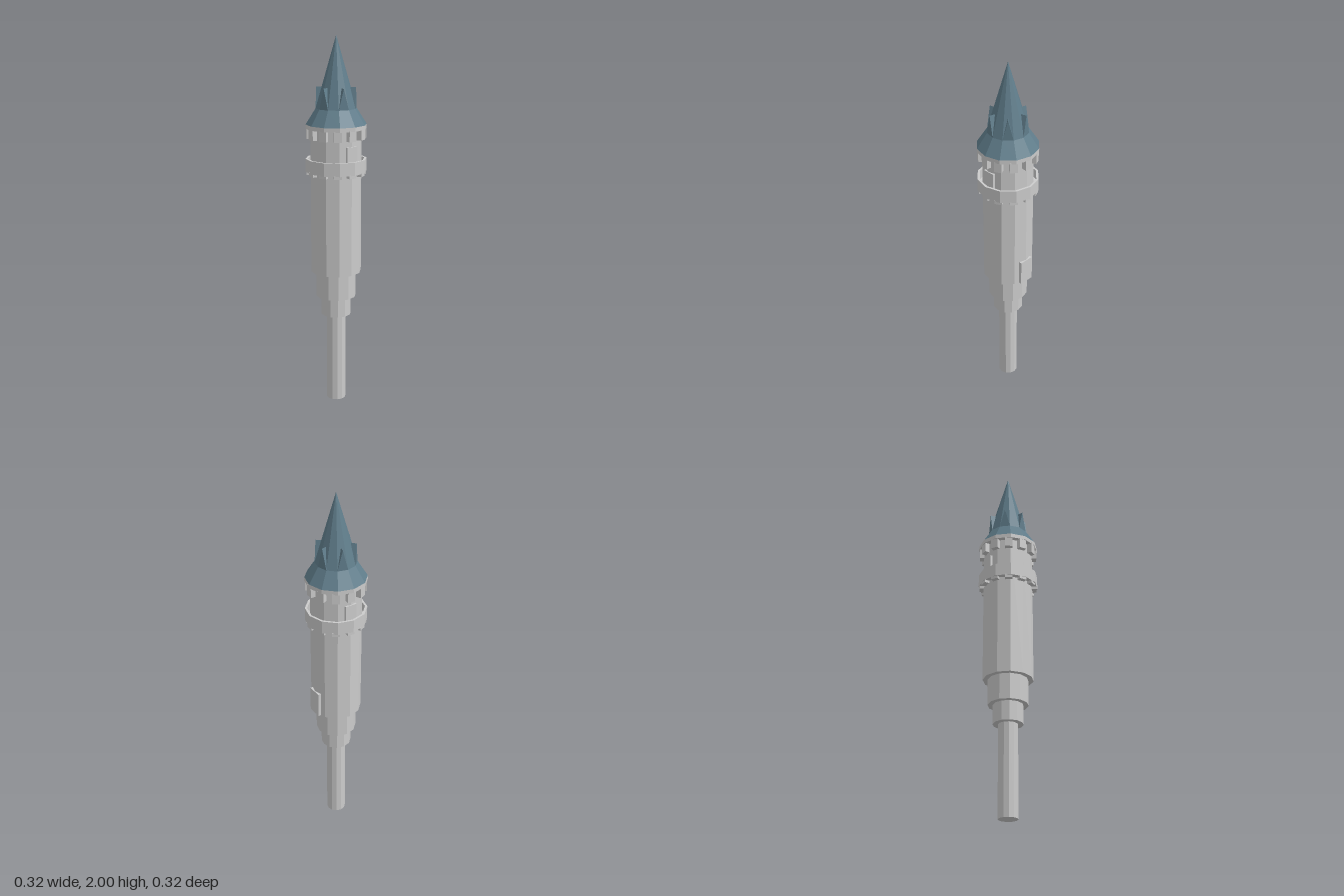
import * as THREE from 'three';

const SIDES = 12;
const stone = new THREE.MeshStandardMaterial({ color: 0xcccccc, flatShading: true });
const slate = new THREE.MeshStandardMaterial({ color: 0x607d8b, flatShading: true });

function faceted(geometry) {
  const g = geometry.index ? geometry.toNonIndexed() : geometry;
  g.computeVertexNormals();
  return g;
}

// Twelve-sided turned part from [radius, height] pairs, listed bottom to top
function turned(name, profile, material) {
  const points = profile.map(([r, y]) => new THREE.Vector2(r, y));
  const mesh = new THREE.Mesh(faceted(new THREE.LatheGeometry(points, SIDES)), material);
  mesh.name = name;
  return mesh;
}

// Block facing outward at angle a (0 = front), between two heights
function block(name, a, radius, width, depth, y0, y1) {
  const mesh = new THREE.Mesh(new THREE.BoxGeometry(width, y1 - y0, depth), stone);
  mesh.position.set(Math.sin(a) * radius, (y0 + y1) / 2, Math.cos(a) * radius);
  mesh.rotation.y = a;
  mesh.name = name;
  return mesh;
}

// Ring of small supporting blocks, one per side
function corbels(name, y0, y1) {
  const ring = new THREE.Group();
  ring.name = name;
  for (let i = 0; i < SIDES; i++) {
    const a = THREE.MathUtils.degToRad(i * 30 - 4);
    ring.add(block('corbel', a, 0.142, 0.04, 0.03, y0, y1));
  }
  return ring;
}

// Gabled dormer: upright triangular front and a level ridge running back to the spire
function dormerGeometry(r, y0, y1, ridgeBack) {
  const half = r * Math.sin(Math.PI / SIDES);
  const front = r * Math.cos(Math.PI / SIDES);
  const left = [-half, y0, front], right = [half, y0, front];
  const peak = [0, y1, front], back = [0, y1, ridgeBack];
  const g = new THREE.BufferGeometry();
  g.setAttribute('position', new THREE.Float32BufferAttribute(
    [left, right, peak, right, back, peak, left, peak, back].flat(), 3));
  g.computeVertexNormals();
  return g;
}

export function createModel() {
  const tower = new THREE.Group();
  tower.name = 'tower';

  // Stepped shaft
  tower.add(turned('shaft', [
    [0, 0], [0.052, 0], [0.052, 0.495], [0.081, 0.495], [0.081, 0.6],
    [0.108, 0.6], [0.108, 0.74], [0.135, 0.74], [0.135, 1.53],
  ], stone));

  // Balcony with a low parapet
  tower.add(turned('balcony', [
    [0.13, 1.29], [0.162, 1.29], [0.162, 1.36], [0.15, 1.36], [0.15, 1.31], [0.13, 1.31],
  ], stone));
  tower.add(corbels('balconyCorbels', 1.275, 1.295));

  // Eaves under the roof
  tower.add(turned('eaves', [[0.13, 1.52], [0.162, 1.52], [0.162, 1.542]], stone));
  tower.add(corbels('eavesCorbels', 1.467, 1.525));

  // Doors: two onto the balcony, one at the foot of the main drum
  for (const side of [-1, 1]) {
    tower.add(block('balconyDoor', side * Math.PI / 2, 0.127, 0.065, 0.024, 1.31, 1.437));
  }
  tower.add(block('backDoor', Math.PI, 0.127, 0.08, 0.026, 0.74, 0.88));

  // Flared roof and spire
  tower.add(turned('roof', [[0.162, 1.54], [0.108, 1.625], [0, 2]], slate));

  // Dormers on every second side
  const dormer = dormerGeometry(0.108, 1.625, 1.735, 0.073);
  for (let i = 0; i < 6; i++) {
    const mesh = new THREE.Mesh(dormer, slate);
    mesh.name = 'dormer';
    mesh.rotation.y = Math.PI / SIDES + i * Math.PI / 3;
    tower.add(mesh);
  }
  return tower;
}
